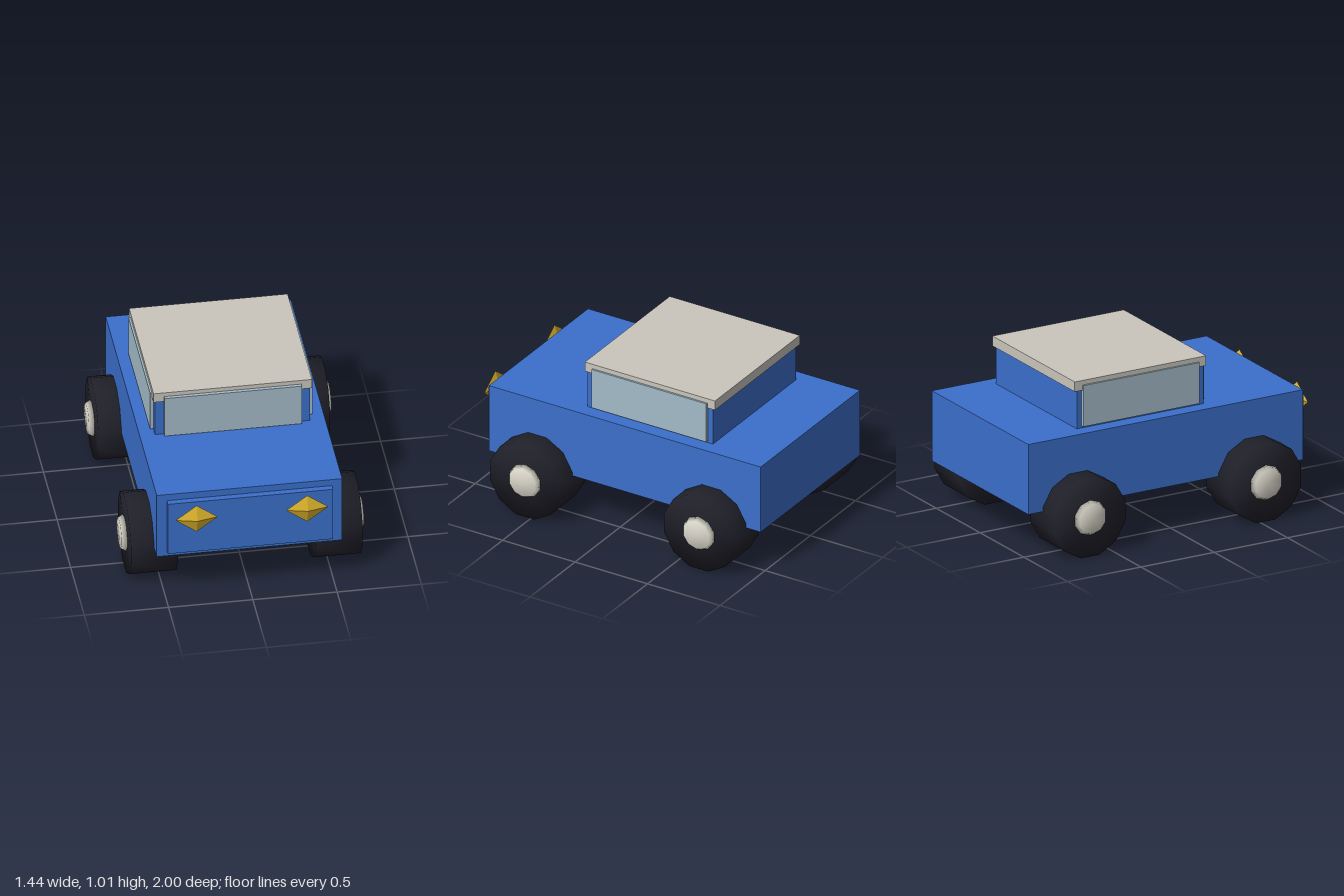
import * as THREE from 'three';
import { mergeVertices } from 'three/addons/utils/BufferGeometryUtils.js';

function material(name, color) {
  const m = new THREE.MeshStandardMaterial({ color });
  m.name = name;
  return m;
}

// Box given by its minimum and maximum on each axis
function box(name, mat, [x0, x1], [y0, y1], [z0, z1]) {
  const mesh = new THREE.Mesh(new THREE.BoxGeometry(x1 - x0, y1 - y0, z1 - z0), mat);
  mesh.position.set((x0 + x1) / 2, (y0 + y1) / 2, (z0 + z1) / 2);
  mesh.name = name;
  return mesh;
}

// Cylinder along +x with normals shared across its rim, for a soft, domed look
function softDisc(outerRadius, innerRadius, width, sides) {
  const g = new THREE.CylinderGeometry(outerRadius, innerRadius, width, sides);
  g.rotateY(Math.PI / sides);
  g.rotateZ(-Math.PI / 2);
  g.deleteAttribute('normal');
  g.deleteAttribute('uv');
  const merged = mergeVertices(g, 1e-4);
  merged.computeVertexNormals();
  return merged;
}

export function createModel() {
  const paint = material('blue paint', 0x3b6fcb);
  const roofMat = material('warm grey roof', 0xcac6bd);
  const glass = material('pale glass', 0xa4bbc8);
  const rubber = material('dark rubber', 0x20202a);
  const hubMat = material('hubcap', 0xdcd8cc);
  const lamp = material('yellow lamp', 0xdcb32c);
  lamp.flatShading = true;

  const car = new THREE.Group();
  car.name = 'car';

  // Body, front panel and cabin
  car.add(
    box('body', paint, [-0.55, 0.55], [0.28, 0.715], [-1, 0.875]),
    box('frontPanel', paint, [-0.49, 0.49], [0.32, 0.672], [0.86, 0.914]),
    box('cabin', paint, [-0.46, 0.46], [0.7, 0.97], [-0.615, 0.25]),
    box('roof', roofMat, [-0.47, 0.47], [0.952, 1.013], [-0.635, 0.262]),
    box('windshield', glass, [-0.407, 0.407], [0.721, 0.987], [0.24, 0.284])
  );

  // Side windows and headlights
  for (const [side, s] of [['left', 1], ['right', -1]]) {
    const win = box(side + 'Window', glass, [-0.02, 0.02], [0.729, 0.984], [-0.582, 0.208]);
    win.position.x = s * 0.462;
    car.add(win);

    const light = new THREE.Mesh(new THREE.OctahedronGeometry(1), lamp);
    light.scale.set(0.125, 0.092, 0.03);
    light.position.set(s * 0.328, 0.59, 0.968);
    light.name = side + 'Headlight';
    car.add(light);
  }

  // Four wheels with hubcaps on their outer faces
  const tireGeo = softDisc(0.249, 0.249, 0.28, 12);
  const hubGeo = softDisc(0.092, 0.11, 0.035, 10);
  for (const [end, z] of [['front', 0.54], ['rear', -0.66]]) {
    for (const [side, s] of [['Left', 1], ['Right', -1]]) {
      const wheel = new THREE.Group();
      wheel.name = end + side + 'Wheel';
      const tire = new THREE.Mesh(tireGeo, rubber);
      tire.name = 'tire';
      const hub = new THREE.Mesh(hubGeo, hubMat);
      hub.name = 'hubcap';
      hub.position.x = 0.1545;
      wheel.add(tire, hub);
      wheel.position.set(s * 0.547, 0.2405, z);
      if (s < 0) wheel.rotation.y = Math.PI;
      car.add(wheel);
    }
  }
  return car;
}
